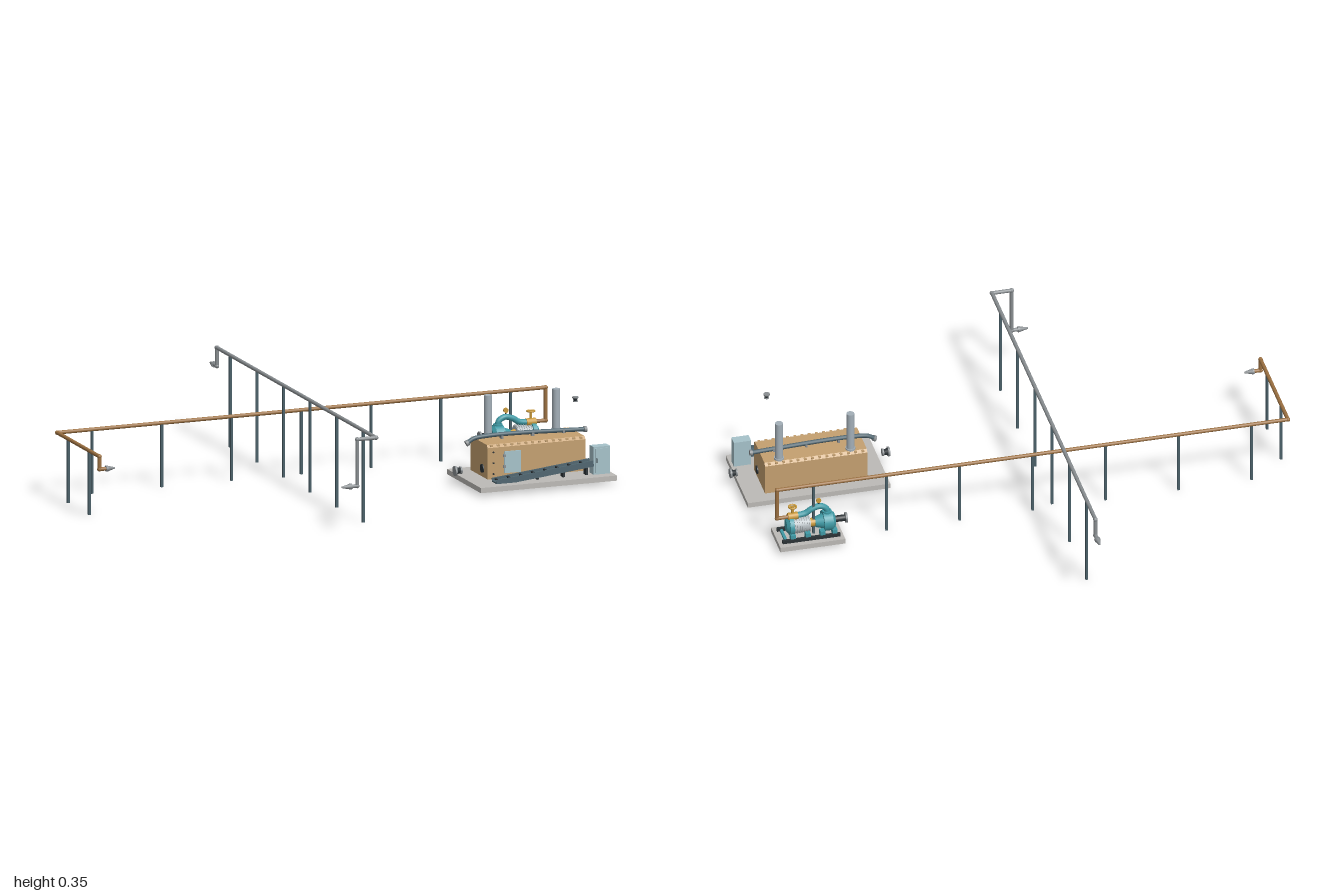
import * as THREE from 'three';

const mat = (color, side = THREE.FrontSide) => new THREE.MeshStandardMaterial({ color, side });
const M = {
  copper: mat(0x9c7142), steel: mat(0x8a8f92), post: mat(0x4a5f68), slab: mat(0xbcbab6),
  tan: mat(0xc4a070), panel: mat(0xa6c2ca), slate: mat(0x506670), dark: mat(0x2b3236),
  teal: mat(0x3f9aa5), silver: mat(0xb4bcc0), yellow: mat(0xc99a3c), stack: mat(0xa3afb8),
};
const UP = new THREE.Vector3(0, 1, 0);

function add(parent, name, geo, material, x = 0, y = 0, z = 0) {
  const m = new THREE.Mesh(geo, material);
  m.name = name;
  m.position.set(x, y, z);
  parent.add(m);
  return m;
}

// Box given by its min and max corners
function box(parent, name, material, a, b) {
  return add(parent, name, new THREE.BoxGeometry(b[0] - a[0], b[1] - a[1], b[2] - a[2]), material,
    (a[0] + b[0]) / 2, (a[1] + b[1]) / 2, (a[2] + b[2]) / 2);
}

// Cylinder or cone between two points
function rod(parent, name, material, a, b, r0, r1 = r0, seg = 16) {
  const p = new THREE.Vector3(...a), q = new THREE.Vector3(...b), d = q.clone().sub(p);
  const m = add(parent, name, new THREE.CylinderGeometry(r1, r0, d.length(), seg), material);
  m.position.copy(p).add(q).multiplyScalar(0.5);
  m.quaternion.setFromUnitVectors(UP, d.normalize());
  return m;
}

// Straight pipe runs joined by round elbows
function pipe(parent, name, material, pts, r) {
  const g = new THREE.Group();
  g.name = name;
  parent.add(g);
  for (let i = 0; i + 1 < pts.length; i++) {
    rod(g, 'pipeRun', material, pts[i], pts[i + 1], r);
    if (i) add(g, 'elbow', new THREE.SphereGeometry(r * 1.2, 14, 10), material, ...pts[i]);
  }
  return g;
}

function tube(parent, name, material, pts, r) {
  const c = new THREE.CatmullRomCurve3(pts.map(p => new THREE.Vector3(...p)));
  return add(parent, name, new THREE.TubeGeometry(c, 40, r, 12), material);
}

// Small pointed outlet: collar and cone
function outlet(parent, material, at, dir, len = 0.035) {
  const p = k => at.map((v, i) => v + dir[i] * k);
  rod(parent, 'outletCollar', material, p(-0.008), p(0), 0.011);
  rod(parent, 'outletTip', material, p(0), p(len), 0.01, 0.003);
}

function nozzle(parent, name, at, dir, s = 1) {
  const g = new THREE.Group();
  g.name = name;
  parent.add(g);
  const p = k => at.map((v, i) => v + dir[i] * k * s);
  rod(g, 'flange', M.steel, p(0.007), p(0.014), 0.018 * s);
  rod(g, 'neck', M.dark, p(-0.008), p(0.007), 0.009 * s, 0.014 * s);
  rod(g, 'collar', M.steel, p(-0.014), p(-0.008), 0.014 * s);
}

function buildPipelines(root) {
  const g = new THREE.Group();
  g.name = 'pipelines';
  root.add(g);
  const post = (x, z, top) => box(g, 'supportPost', M.post, [x - 0.0045, 0, z - 0.0045], [x + 0.0045, top, z + 0.0045]);

  // Copper line with its posts
  pipe(g, 'copperPipe', M.copper, [[0.86, 0.115, -0.12], [0.905, 0.115, -0.12], [0.905, 0.237, -0.12],
    [-0.992, 0.237, -0.12], [-0.992, 0.237, 0.285], [-0.992, 0.19, 0.285], [-0.96, 0.19, 0.285]], 0.007);
  outlet(g, M.steel, [-0.96, 0.19, 0.285], [1, 0, 0], 0.027);
  for (let i = 0; i < 7; i++) post(-0.857 + i * 0.271, -0.12, 0.232);
  for (const z of [-0.015, 0.187]) post(-0.992, z, 0.232);

  // Steel line with its posts
  pipe(g, 'steelPipe', M.steel, [[-0.122, 0.272, -0.77], [-0.122, 0.272, -0.737], [-0.122, 0.34, -0.737],
    [-0.122, 0.34, 0.79], [-0.195, 0.34, 0.79], [-0.195, 0.168, 0.79], [-0.225, 0.168, 0.79]], 0.007);
  outlet(g, M.steel, [-0.122, 0.272, -0.77], [0, 0, -1], 0.03);
  outlet(g, M.steel, [-0.225, 0.168, 0.79], [-1, 0, 0], 0.03);
  for (let i = 0; i < 6; i++) post(-0.122, 0.667 - i * 0.255, 0.335);
}

function buildHeater(root) {
  const g = new THREE.Group();
  g.name = 'heater';
  root.add(g);
  box(g, 'heaterSlab', M.slab, [0.423, 0.012, 0.125], [0.952, 0.031, 0.45]);

  // Insulated body with chamfered roof edges, extruded along x
  const s = new THREE.Shape();
  [[-0.335, 0.031], [-0.172, 0.031], [-0.172, 0.147], [-0.182, 0.157], [-0.325, 0.157], [-0.335, 0.147]]
    .forEach(([a, b], i) => (i ? s.lineTo(a, b) : s.moveTo(a, b)));
  const body = add(g, 'heaterBody', new THREE.ExtrudeGeometry(s, { depth: 0.38, bevelEnabled: false }), M.tan, 0.496, 0, 0);
  body.rotation.y = Math.PI / 2;
  for (let i = 0; i < 14; i++) {
    const x = 0.512 + i * 0.0267;
    for (const z of [0.179, 0.328])
      add(g, 'roofRib', new THREE.BoxGeometry(0.01, 0.01, 0.01), M.tan, x, 0.151, z);
  }

  // Door, handle and sight ports on the front
  box(g, 'frontDoor', M.panel, [0.56, 0.05, 0.334], [0.624, 0.13, 0.34]);
  for (const y of [0.07, 0.11]) box(g, 'doorHinge', M.steel, [0.555, y, 0.334], [0.563, y + 0.01, 0.343]);
  for (const y of [0.05, 0.09, 0.13]) rod(g, 'port', M.dark, [0.518, y, 0.332], [0.518, y, 0.339], 0.003);

  // Stacks
  for (const x of [0.553, 0.818]) {
    rod(g, 'stack', M.stack, [x, 0.14, 0.197], [x, 0.309, 0.197], 0.0145, 0.0145, 24);
    rod(g, 'stackCollar', M.stack, [x, 0.155, 0.197], [x, 0.163, 0.197], 0.018, 0.018, 24);
  }

  // Header pipe over the roof
  tube(g, 'headerPipe', M.slate, [[0.452, 0.153, 0.25], [0.475, 0.166, 0.25], [0.53, 0.172, 0.25],
    [0.65, 0.172, 0.25], [0.8, 0.167, 0.25], [0.908, 0.163, 0.25]], 0.008);
  rod(g, 'headerFlange', M.steel, [0.446, 0.149, 0.25], [0.455, 0.154, 0.25], 0.011);
  rod(g, 'headerFlange', M.steel, [0.904, 0.163, 0.25], [0.914, 0.163, 0.25], 0.011);
  for (const x of [0.58, 0.7, 0.82]) box(g, 'headerSaddle', M.steel, [x, 0.155, 0.242], [x + 0.008, 0.17, 0.258]);

  // Round burner plates on the ends
  for (const [a, b] of [[0.874, 0.88], [0.492, 0.498]])
    rod(g, 'burnerPlate', M.dark, [a, 0.062, 0.285], [b, 0.062, 0.285], 0.016);

  // Control cabinet
  box(g, 'cabinet', M.panel, [0.878, 0.031, 0.37], [0.942, 0.133, 0.408]);
  box(g, 'cabinetDoor', M.panel, [0.883, 0.037, 0.408], [0.937, 0.127, 0.411]);
  box(g, 'cabinetHandle', M.dark, [0.887, 0.075, 0.411], [0.89, 0.092, 0.414]);

  // Sloping cable tray with rungs
  const tray = new THREE.Group();
  tray.name = 'slopedTray';
  tray.position.set(0.687, 0.053, 0.392);
  tray.rotation.z = 0.105;
  g.add(tray);
  box(tray, 'trayFloor', M.slate, [-0.19, -0.005, -0.022], [0.19, 0.003, 0.022]);
  for (const z of [-0.022, 0.018]) box(tray, 'trayRail', M.slate, [-0.19, -0.01, z], [0.19, 0.012, z + 0.004]);
  for (let i = 0; i < 8; i++) box(tray, 'trayRung', M.dark, [-0.18 + i * 0.047, 0.003, -0.02], [-0.174 + i * 0.047, 0.009, 0.02]);
  for (const x of [0.66, 0.76, 0.85]) box(g, 'trayLeg', M.dark, [x, 0.03, 0.38], [x + 0.008, 0.053 + (x - 0.687) * 0.1, 0.404]);

  // Detached connection nozzles
  nozzle(g, 'leftNozzle', [0.965, 0.062, 0.285], [1, 0, 0]);
  nozzle(g, 'rightNozzle', [0.4, 0.062, 0.285], [-1, 0, 0]);
  nozzle(g, 'ventNozzle', [0.818, 0.31, 0.38], [0, 1, 0], 0.65);
}

function buildPump(root) {
  const g = new THREE.Group();
  g.name = 'pumpSet';
  root.add(g);
  const z = -0.118, y = 0.077;
  const alongX = (name, material, a, b, r, r1) => rod(g, name, material, [a, y, z], [b, y, z], r, r1, 24);
  box(g, 'pumpSlab', M.slab, [0.668, 0.012, -0.187], [0.909, 0.031, -0.05]);

  // Skid rails and feet
  for (const s of [-1, 1]) {
    box(g, 'skidRail', M.dark, [0.68, 0.031, z + s * 0.042 - 0.006], [0.895, 0.043, z + s * 0.042 + 0.006]);
    for (const x of [0.69, 0.735, 0.79, 0.845])
      box(g, 'pumpFoot', M.teal, [x, 0.037, z + s * 0.031 - 0.012], [x + 0.018, 0.058, z + s * 0.031 + 0.012]);
  }
  for (const x of [0.69, 0.79, 0.875]) box(g, 'skidCrossbar', M.teal, [x, 0.031, z - 0.042], [x + 0.01, 0.04, z + 0.042]);

  // Suction flange, volute, coupling and motor
  alongX('suctionFlange', M.steel, 0.645, 0.652, 0.019);
  alongX('suctionPipe', M.dark, 0.652, 0.695, 0.012);
  alongX('voluteCover', M.teal, 0.692, 0.702, 0.026, 0.037);
  alongX('volute', M.teal, 0.702, 0.736, 0.038);
  alongX('bearingHousing', M.teal, 0.736, 0.765, 0.028, 0.018);
  alongX('coupling', M.yellow, 0.765, 0.785, 0.016);
  alongX('motor', M.silver, 0.785, 0.846, 0.03);
  for (let i = 0; i < 7; i++) alongX('motorFin', M.silver, 0.787 + i * 0.009, 0.79 + i * 0.009, 0.033);
  alongX('motorCap', M.teal, 0.846, 0.862, 0.037);
  alongX('fanCover', M.teal, 0.862, 0.872, 0.033, 0.022);
  box(g, 'terminalBox', M.dark, [0.8, 0.067, z + 0.028], [0.83, 0.09, z + 0.044]);

  // Discharge bend leading to the valve and copper line
  tube(g, 'dischargeBend', M.teal, [[0.719, 0.1, z], [0.722, 0.128, z], [0.745, 0.142, z], [0.775, 0.135, z], [0.8, 0.12, z], [0.835, 0.115, z]], 0.011);
  rod(g, 'dischargeFlange', M.teal, [0.719, 0.112, z], [0.719, 0.119, z], 0.017);
  rod(g, 'valveBody', M.yellow, [0.828, 0.115, z], [0.865, 0.115, z], 0.014);
  rod(g, 'valveStem', M.yellow, [0.847, 0.115, z], [0.847, 0.155, z], 0.005);
  const wheel = add(g, 'valveWheel', new THREE.TorusGeometry(0.014, 0.003, 8, 20), M.yellow, 0.847, 0.155, z);
  wheel.rotation.x = Math.PI / 2;
  box(g, 'wheelSpoke', M.yellow, [0.834, 0.153, z - 0.002], [0.86, 0.157, z + 0.002]);
  rod(g, 'gaugeStem', M.dark, [0.75, 0.14, z], [0.75, 0.163, z], 0.003);
  rod(g, 'gauge', M.yellow, [0.75, 0.166, z - 0.004], [0.75, 0.166, z + 0.004], 0.009);
}

export function createModel() {
  const root = new THREE.Group();
  root.name = 'processPlant';
  buildPipelines(root);
  buildHeater(root);
  buildPump(root);
  return root;
}
